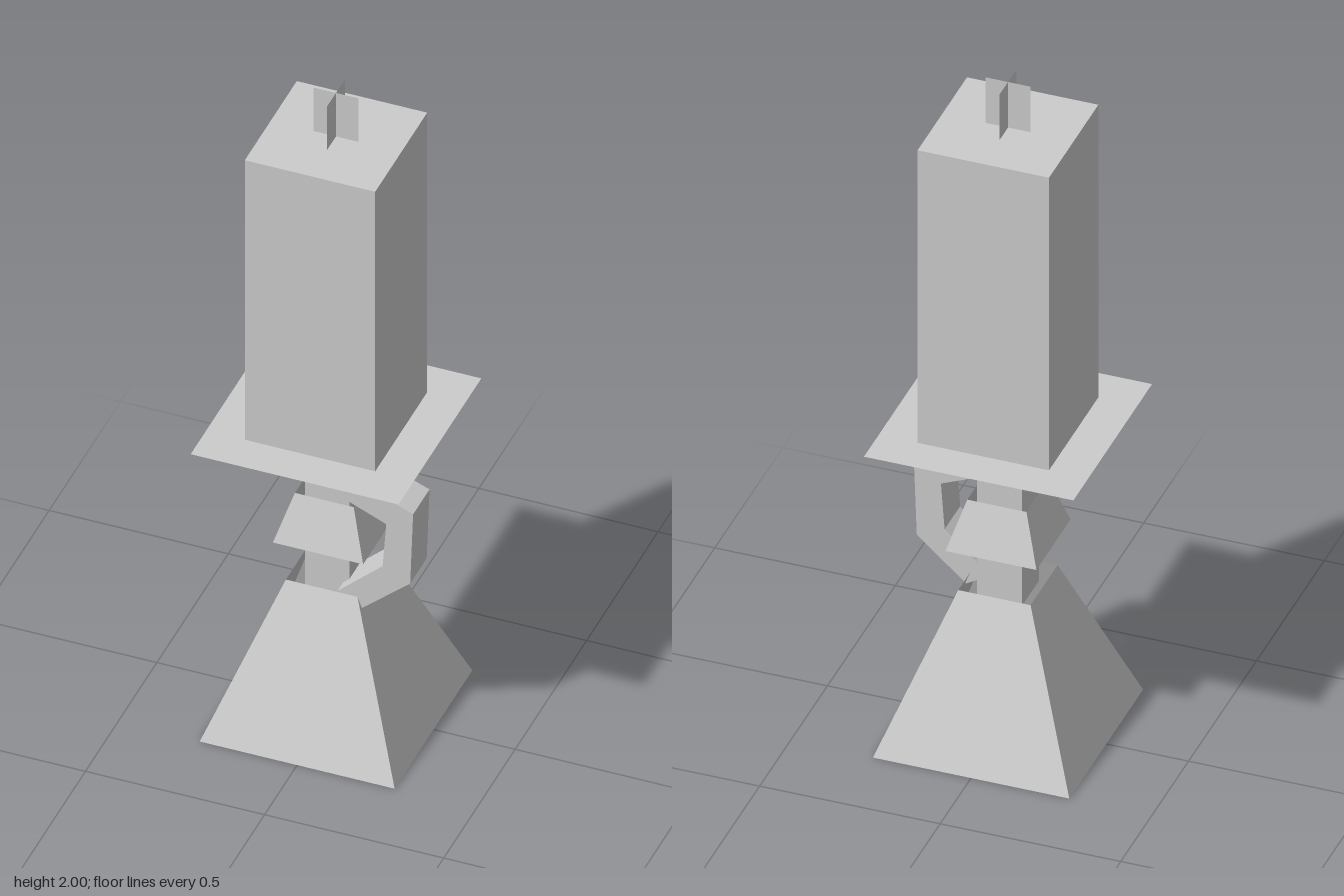
import * as THREE from 'three';

export function createModel() {
  const group = new THREE.Group();
  group.name = 'candlestick';
  const grey = new THREE.MeshStandardMaterial({ color: 0xcccccc, flatShading: true, side: THREE.DoubleSide });
  grey.name = 'plain grey';

  function add(name, geometry) {
    const mesh = new THREE.Mesh(geometry, grey);
    mesh.name = name;
    group.add(mesh);
    return mesh;
  }

  // Square tapered section; half widths at the bottom and top
  function section(name, y0, half0, y1, half1, open = true) {
    const g = new THREE.CylinderGeometry(half1 * Math.SQRT2, half0 * Math.SQRT2, y1 - y0, 4, 1, open, Math.PI / 4);
    g.translate(0, (y0 + y1) / 2, 0);
    return add(name, g);
  }

  // Flat square facing up or down
  function plate(name, y, half, up) {
    const g = new THREE.PlaneGeometry(half * 2, half * 2);
    g.rotateX(up ? -Math.PI / 2 : Math.PI / 2);
    g.translate(0, y, 0);
    return add(name, g);
  }

  // Foot, hollow at the top around the stem
  section('foot', 0, 0.272, 0.455, 0.1);
  plate('footBottom', 0, 0.272, false);

  // Stem with its flared collar
  section('stem', 0.42, 0.062, 0.9, 0.062);
  section('collar', 0.587, 0.126, 0.73, 0.082);

  // Drip tray
  section('dripTray', 0.86, 0.09, 0.945, 0.29);
  plate('dripTrayTop', 0.945, 0.29, true);

  // Candle and its crossed wick planes
  section('candle', 0.946, 0.182, 1.858, 0.182, false);
  for (const turn of [0, Math.PI / 2]) {
    const g = new THREE.PlaneGeometry(0.125, 0.142);
    g.rotateY(turn);
    g.translate(0, 1.929, 0);
    add('wick', g);
  }

  // Angular side handle
  const outline = [
    [0.075, 0.84], [0.05, 0.77], [0.18, 0.715], [0.17, 0.575],
    [0.045, 0.46], [0.11, 0.42], [0.247, 0.54], [0.255, 0.768],
  ].map(([x, y]) => new THREE.Vector2(x, y));
  const handle = new THREE.ExtrudeGeometry(new THREE.Shape(outline), { depth: 0.115, bevelEnabled: false });
  handle.translate(0, 0, -0.015);
  add('handle', handle);

  return group;
}
